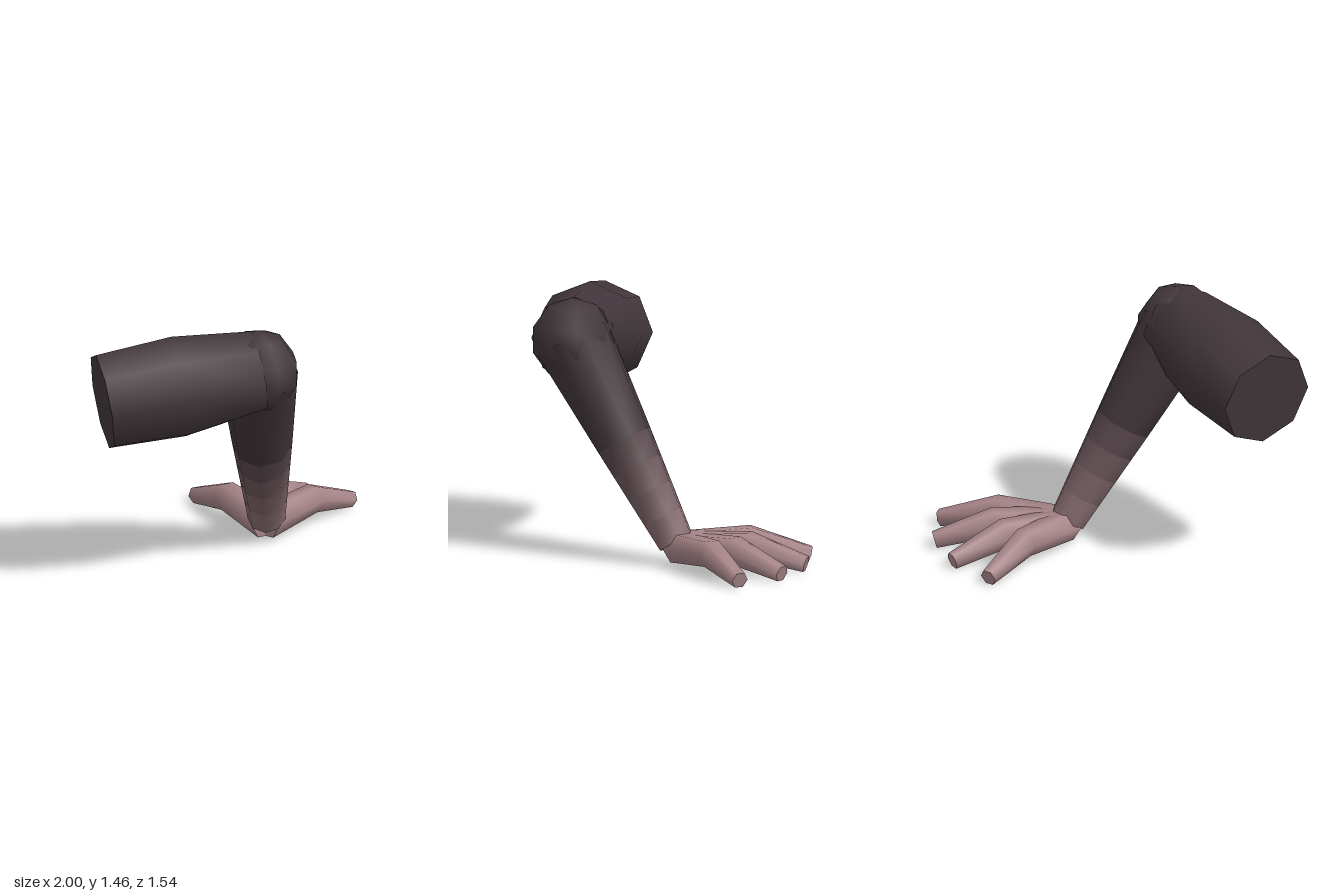
import * as THREE from 'three';

const DARK = new THREE.Color(0x41363b), SKIN = new THREE.Color(0xa8868a);
const material = (color) => new THREE.MeshStandardMaterial({ color });
const V = (x, y, z) => new THREE.Vector3(x, y, z);

// Smooth tube through centres of varying radius, with optional flat end caps
function loft(centres, radii, sides, phase = 0, capStart = true, capEnd = true) {
  const pos = [], index = [], last = centres.length - 1;
  const rings = centres.map((c, i) => {
    const before = c.clone().sub(centres[Math.max(i - 1, 0)]).normalize();
    const after = centres[Math.min(i + 1, last)].clone().sub(c).normalize();
    const d = before.add(after).normalize();
    const s = d.clone().cross(V(0, 1, 0)).normalize();
    const u = s.clone().cross(d);
    return Array.from({ length: sides }, (_, j) => {
      const a = phase + (j / sides) * Math.PI * 2;
      return c.clone().addScaledVector(s, radii[i] * Math.cos(a)).addScaledVector(u, radii[i] * Math.sin(a));
    });
  });
  for (const ring of rings) for (const p of ring) pos.push(p.x, p.y, p.z);
  for (let i = 0; i < last; i++) {
    for (let j = 0; j < sides; j++) {
      const k = (j + 1) % sides, a = i * sides, b = a + sides;
      index.push(a + j, b + j, a + k, a + k, b + j, b + k);
    }
  }
  // Caps have their own corners so their edges stay sharp
  const cap = (ring, flip) => {
    const start = pos.length / 3;
    for (const p of ring) pos.push(p.x, p.y, p.z);
    for (let j = 1; j < sides - 1; j++) {
      if (flip) index.push(start, start + j + 1, start + j);
      else index.push(start, start + j, start + j + 1);
    }
  };
  if (capStart) cap(rings[0], false);
  if (capEnd) cap(rings[last], true);
  const geo = new THREE.BufferGeometry();
  geo.setAttribute('position', new THREE.Float32BufferAttribute(pos, 3));
  geo.setIndex(index);
  geo.computeVertexNormals();
  return geo;
}

export function createModel() {
  const model = new THREE.Group();
  model.name = 'arm';
  const add = (parent, name, geo, color) => {
    const mesh = new THREE.Mesh(geo, material(color));
    mesh.name = name;
    parent.add(mesh);
    return mesh;
  };

  const shoulder = V(-0.915, 1.11, 0.265), elbow = V(-0.07, 1.232, 0.532), wrist = V(0.287, 0.13, -0.01);

  // Upper arm, bulging in the middle
  add(model, 'upperArm', loft([shoulder, shoulder.clone().lerp(elbow, 0.49), elbow], [0.28, 0.3, 0.237], 8), DARK);

  // Elbow ball
  add(model, 'elbow', new THREE.SphereGeometry(0.237, 8, 5), DARK).position.copy(elbow);

  // Forearm in bands that fade from sleeve to skin colour
  const forearm = new THREE.Group();
  forearm.name = 'forearm';
  model.add(forearm);
  const stops = [0, 0.5, 0.625, 0.75, 0.875, 1];
  const radiusAt = (t) => (t < 0.5 ? 0.225 + (0.168 - 0.225) * t * 2 : 0.168 + (0.105 - 0.168) * (t - 0.5) * 2);
  for (let i = 0; i < stops.length - 1; i++) {
    const [a, b] = [stops[i], stops[i + 1]];
    const geo = loft([elbow.clone().lerp(wrist, a), elbow.clone().lerp(wrist, b)],
      [radiusAt(a), radiusAt(b)], 8, 0, i === 0, b === 1);
    add(forearm, `forearmBand${i + 1}`, geo, DARK.clone().lerp(SKIN, i * 0.14));
  }

  // Four splayed fingers, bent at the knuckle
  const hand = new THREE.Group();
  hand.name = 'hand';
  model.add(hand);
  const root = V(0.285, 0.105, -0.015);
  const tips = [[0.255, -0.765], [0.555, -0.71], [0.815, -0.545], [0.98, -0.29]];
  tips.forEach(([x, z], i) => {
    const tip = V(x, 0.045, z);
    const knuckle = root.clone().lerp(tip, 0.55).setY(0.138);
    add(hand, `finger${i + 1}`, loft([root, knuckle, tip], [0.095, 0.084, 0.049], 6), SKIN);
  });

  return model;
}
